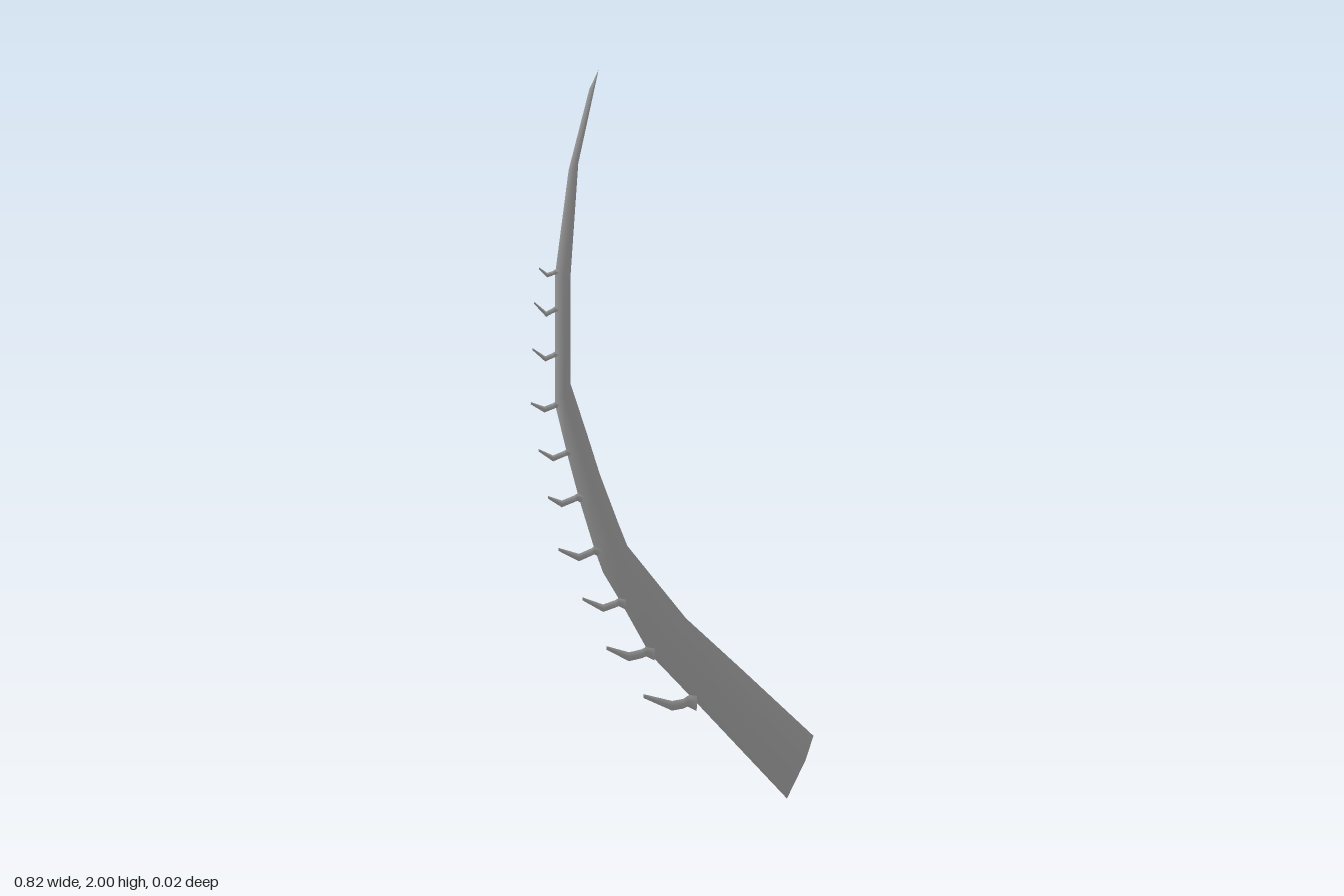
import * as THREE from 'three';

const material = new THREE.MeshStandardMaterial({ color: 0xcccccc });

// Lens-shaped sheet lofted along rows of [leftX, leftY, rightX, rightY, halfThickness, ridgeFraction].
// Each ring holds front (left, ridge, right) and back (right, ridge, left), so the edges stay sharp.
function lens(rows) {
  const pos = [], index = [];
  for (const [lx, ly, rx, ry, t, f = 0.5] of rows) {
    const mx = lx + (rx - lx) * f, my = ly + (ry - ly) * f;
    pos.push(lx, ly, 0, mx, my, t, rx, ry, 0, rx, ry, 0, mx, my, -t, lx, ly, 0);
  }
  for (let i = 0; i < rows.length - 1; i++) {
    for (const j of [0, 1, 3, 4]) {
      const a = i * 6 + j, b = a + 6;
      index.push(a, a + 1, b + 1, a, b + 1, b);
    }
  }
  // folded cap on the first ring
  const n = rows.length * 6;
  for (const k of [0, 4, 1, 2, 1, 4]) pos.push(...pos.slice(k * 3, k * 3 + 3));
  index.push(n, n + 1, n + 2, n + 3, n + 4, n + 5);
  const g = new THREE.BufferGeometry();
  g.setAttribute('position', new THREE.Float32BufferAttribute(pos, 3));
  g.setIndex(index);
  g.computeVertexNormals();
  return g;
}

function part(name, rows) {
  const mesh = new THREE.Mesh(lens(rows), material);
  mesh.name = name;
  return mesh;
}

export function createModel() {
  const group = new THREE.Group();
  group.name = 'barbedBlade';

  // Curved blade from the wide base to the pointed tip
  group.add(part('blade', [
    [0.333, 0.0, 0.41, 0.16, 0.012, 0.62],
    [0.06, 0.293, 0.2, 0.36, 0.011],
    [-0.065, 0.425, 0.04, 0.51, 0.01],
    [-0.145, 0.565, -0.045, 0.615, 0.01],
    [-0.2, 0.655, -0.13, 0.72, 0.01],
    [-0.225, 0.72, -0.155, 0.78, 0.01],
    [-0.27, 0.86, -0.21, 0.92, 0.01],
    [-0.305, 0.985, -0.25, 1.04, 0.01],
    [-0.34, 1.12, -0.295, 1.17, 0.01],
    [-0.34, 1.46, -0.295, 1.45, 0.008],
    [-0.3, 1.74, -0.272, 1.755, 0.005],
    [-0.24, 1.95, -0.225, 1.95, 0.003],
    [-0.213, 2.0, -0.213, 2.0, 0],
  ]));

  // Bent barbs along the outer edge: root, elbow, tip, half width
  const barbs = [
    [0.045, 0.285, 0.0, 0.28, -0.083, 0.314, 0.013],
    [-0.075, 0.43, -0.125, 0.423, -0.19, 0.453, 0.012],
    [-0.155, 0.57, -0.2, 0.56, -0.26, 0.591, 0.01],
    [-0.225, 0.715, -0.27, 0.702, -0.33, 0.73, 0.01],
    [-0.275, 0.862, -0.32, 0.85, -0.36, 0.872, 0.009],
    [-0.305, 0.985, -0.345, 0.974, -0.387, 1.0, 0.008],
    [-0.338, 1.115, -0.37, 1.107, -0.41, 1.128, 0.008],
    [-0.34, 1.25, -0.368, 1.242, -0.405, 1.272, 0.007],
    [-0.34, 1.37, -0.365, 1.361, -0.4, 1.395, 0.007],
    [-0.34, 1.47, -0.362, 1.465, -0.386, 1.486, 0.006],
  ];
  barbs.forEach(([rx, ry, ex, ey, tx, ty, w], i) => {
    const row = (x, y, down, up, t) => [x, y - down, x, y + up, t];
    group.add(part('barb' + (i + 1), [
      row(rx + w * 2, ry, w * 2, w * 2.2, 0.004),
      row(rx, ry, w * 0.9, w * 1.3, 0.003),
      row(rx - w, ry - w * 0.2, w, w, 0.003),
      row(ex, ey, w, w, 0.003),
      row(tx, ty, w * 0.4, w * 0.4, 0.001),
    ]));
  });
  return group;
}
